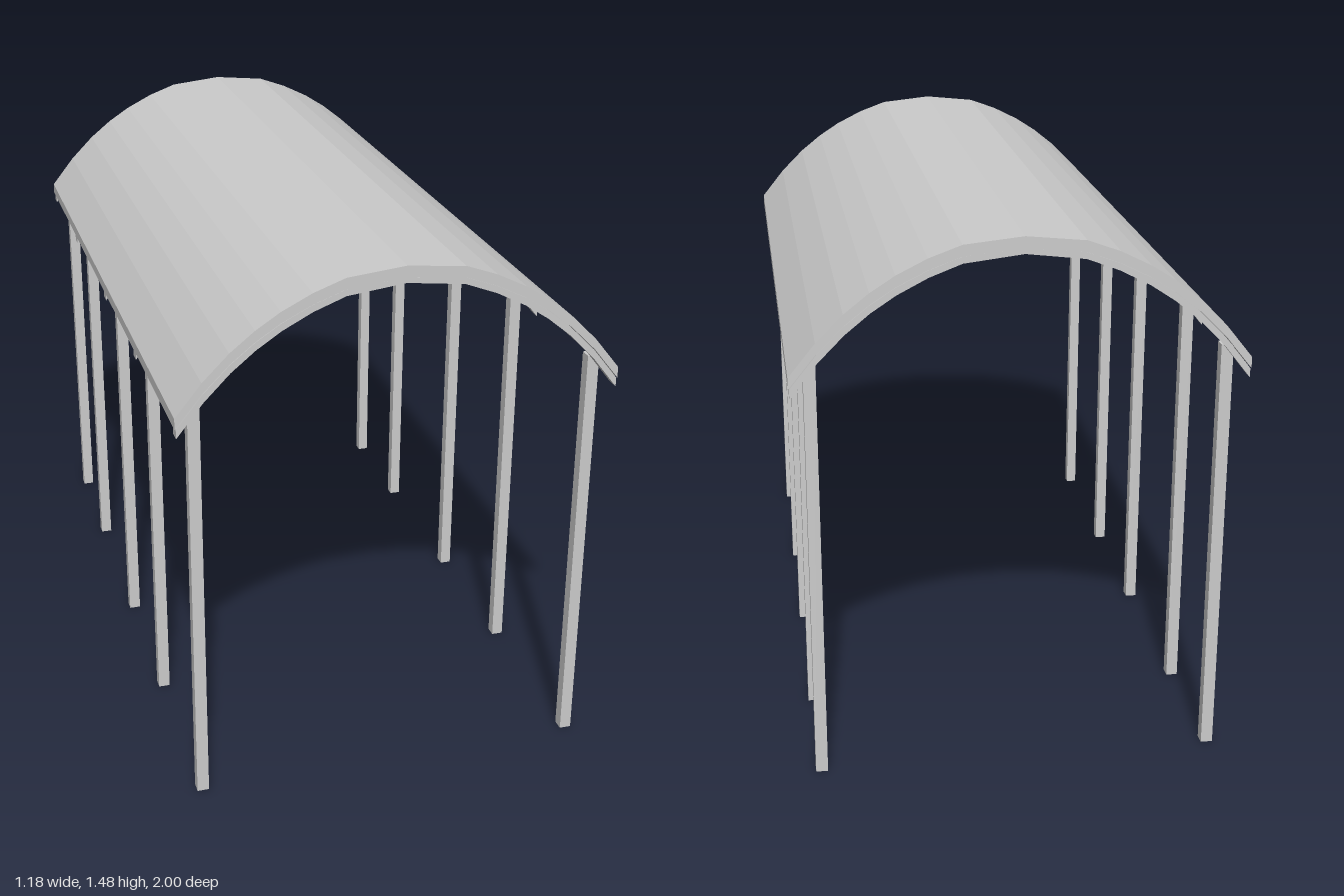
import * as THREE from 'three';

const material = new THREE.MeshStandardMaterial({ color: 0xcccccc, flatShading: true });

// Right half of the arched roof line, crown to eave
const half = [[0, 1.478], [0.155, 1.462], [0.24, 1.431], [0.32, 1.391], [0.385, 1.349],
  [0.45, 1.297], [0.52, 1.227], [0.59, 1.14]];
const arch = [...half.slice(1).reverse().map(([x, y]) => [-x, y]), ...half];

// Arched band between two depths below the roof line, extruded along z
function archBand(name, topDrop, bottomDrop, z0, z1, endX = 0.59) {
  const k = endX / 0.59;
  const upper = arch.map(([x, y]) => new THREE.Vector2(x * k, y - topDrop(Math.abs(x))));
  const lower = arch.map(([x, y]) => new THREE.Vector2(x * k, y - bottomDrop(Math.abs(x)))).reverse();
  const geometry = new THREE.ExtrudeGeometry(new THREE.Shape([...upper, ...lower]),
    { depth: z1 - z0, bevelEnabled: false });
  const mesh = new THREE.Mesh(geometry, material);
  mesh.position.z = z0;
  mesh.name = name;
  return mesh;
}

function box(name, w, h, d, x, y, z, tilt = 0) {
  const mesh = new THREE.Mesh(new THREE.BoxGeometry(w, h, d), material);
  mesh.position.set(x, y, z);
  mesh.rotation.z = tilt;
  mesh.name = name;
  return mesh;
}

export function createModel() {
  const model = new THREE.Group();
  model.name = 'archedCanopy';

  // Curved roof sheet
  model.add(archBand('roof', () => 0, () => 0.03, -1, 1));

  // Arched ribs, each with a pair of posts fixed to its side
  const frames = [[0.9825, 0.949], [0.466, 0.429], [0, -0.037], [-0.5325, -0.567], [-0.9825, -0.949]];
  const ribWidth = 0.035, postWidth = 0.032, postHeight = 1.165;
  for (const [ribZ, postZ] of frames) {
    model.add(archBand('rib', () => 0.03, x => 0.045 + 0.01 * x / 0.59,
      ribZ - ribWidth / 2, ribZ + ribWidth / 2, 0.587));
    for (const side of [-1, 1]) {
      model.add(box(side > 0 ? 'leftPost' : 'rightPost', postWidth, postHeight, postWidth,
        side * 0.535, postHeight / 2, postZ));
    }
  }

  // Lengthwise purlins under the sheet
  model.add(box('crownPurlin', 0.085, 0.014, 1.99, 0, 1.441, 0));
  for (const side of [-1, 1]) {
    model.add(box('sidePurlin', 0.085, 0.014, 1.99, side * 0.406, 1.292, 0, -side * 0.64));
  }
  return model;
}
